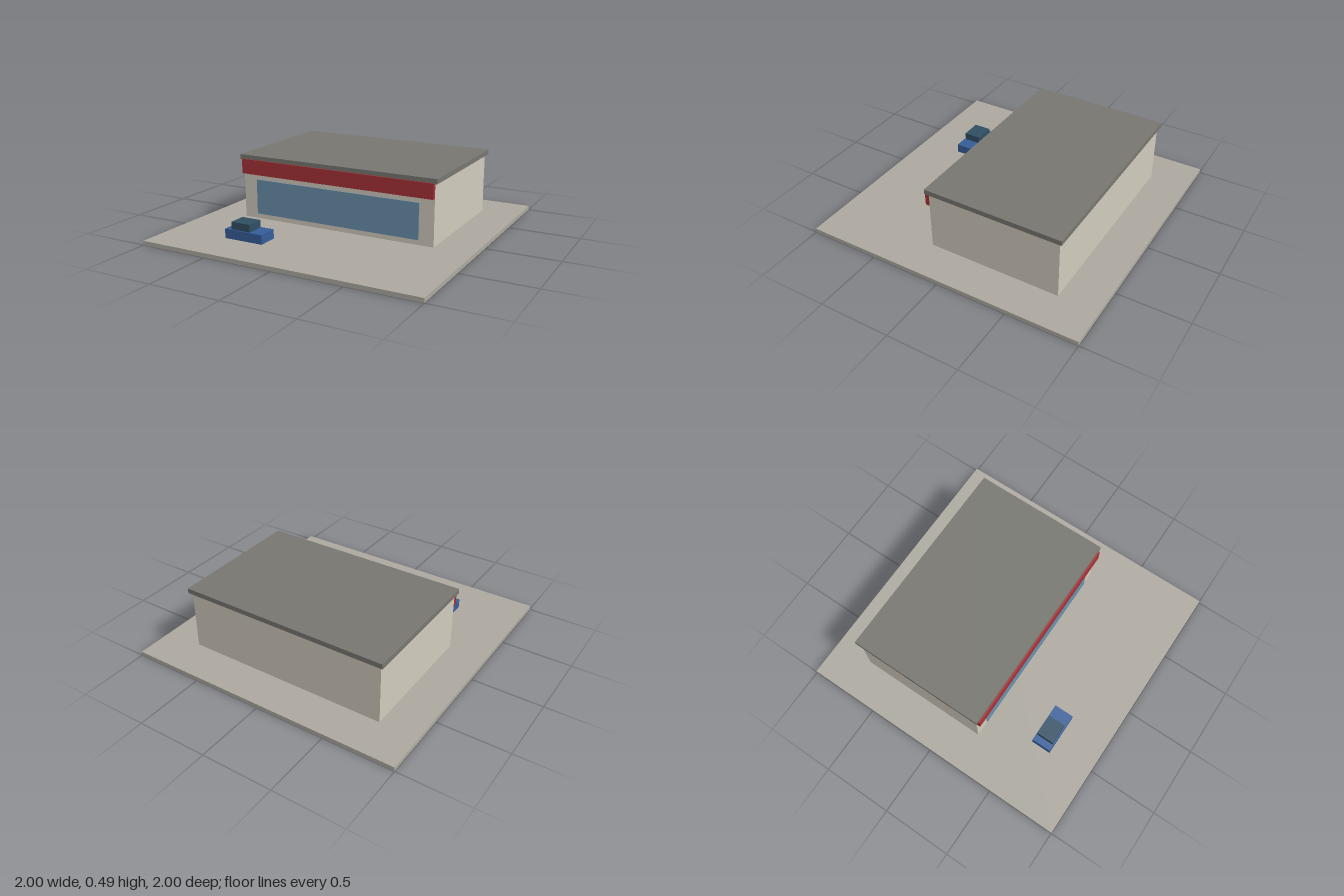
import * as THREE from 'three';

const material = (name, color) => {
  const m = new THREE.MeshStandardMaterial({ color });
  m.name = name;
  return m;
};

// Box given by its [min, max] extent on each axis
function box(name, mat, [x0, x1], [y0, y1], [z0, z1]) {
  const mesh = new THREE.Mesh(new THREE.BoxGeometry(x1 - x0, y1 - y0, z1 - z0), mat);
  mesh.position.set((x0 + x1) / 2, (y0 + y1) / 2, (z0 + z1) / 2);
  mesh.name = name;
  return mesh;
}

function group(name, ...parts) {
  const g = new THREE.Group();
  g.name = name;
  g.add(...parts);
  return g;
}

export function createModel() {
  const paving = material('paving', 0xaca89f);
  const wall = material('cream wall', 0xd0cabc);
  const roofGrey = material('roof grey', 0x777670);
  const red = material('fascia red', 0xa63236);
  const glass = material('window blue', 0x6890ac);
  const carBlue = material('car blue', 0x365d98);
  const cabinBlue = material('dark cabin blue', 0x2f4e62);

  // Paved lot
  const lot = box('lot', paving, [-1, 1], [0, 0.03], [-1, 1]);

  // Shop with overhanging flat roof, fascia band and wide window
  const shop = group('shop',
    box('walls', wall, [-0.73, 0.73], [0.03, 0.455], [-0.72, 0.22]),
    box('roof', roofGrey, [-0.75, 0.75], [0.455, 0.49], [-0.74, 0.24]),
    box('fascia', red, [-0.73, 0.73], [0.355, 0.46], [0.22, 0.25]),
    box('window', glass, [-0.625, 0.625], [0.065, 0.315], [0.219, 0.226]));

  // Parked car
  const car = group('car',
    box('carBody', carBlue, [-0.56, -0.27], [0.03, 0.095], [0.555, 0.697]),
    box('carCabin', cabinBlue, [-0.513, -0.367], [0.095, 0.147], [0.563, 0.688]));

  return group('shopWithLot', lot, shop, car);
}
